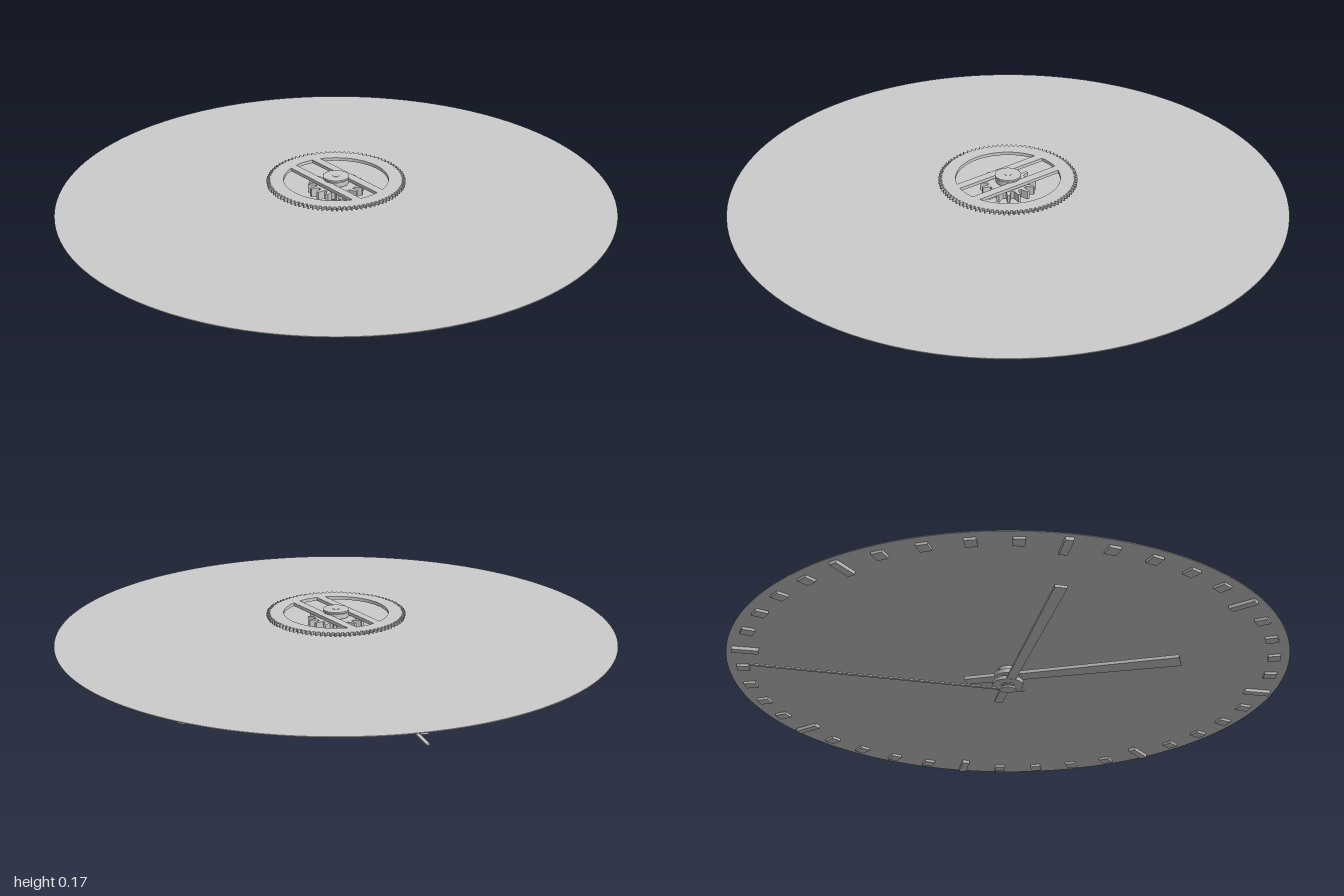
import * as THREE from 'three';

const mat = new THREE.MeshStandardMaterial({ color: 0xcccccc, side: THREE.DoubleSide });

function add(group, name, geometry) {
  const mesh = new THREE.Mesh(geometry, mat);
  mesh.name = name;
  group.add(mesh);
  return mesh;
}

// Horizontal plate: the shape's y axis points to -z, bottom at y
function plate(shape, y, height) {
  const g = new THREE.ExtrudeGeometry(shape, { depth: height, bevelEnabled: false, curveSegments: 32 });
  return g.rotateX(-Math.PI / 2).translate(0, y, 0);
}

function cylinder(r, y0, y1, sides = 32) {
  return new THREE.CylinderGeometry(r, r, y1 - y0, sides).translate(0, (y0 + y1) / 2, 0);
}

// Hollow tube or washer
function ring(rIn, rOut, y0, y1) {
  const s = new THREE.Shape().absarc(0, 0, rOut, 0, Math.PI * 2);
  s.holes.push(new THREE.Path().absarc(0, 0, rIn, 0, Math.PI * 2, true));
  return plate(s, y0, y1 - y0);
}

function gearShape(teeth, root, tip) {
  const pts = [];
  const step = Math.PI * 2 / teeth;
  for (let i = 0; i < teeth; i++) {
    for (const [f, r] of [[-0.3, root], [-0.12, tip], [0.12, tip], [0.3, root]]) {
      const a = (i + f) * step;
      pts.push(new THREE.Vector2(Math.cos(a) * r, Math.sin(a) * r));
    }
  }
  return new THREE.Shape(pts);
}

// Hand pointing along +x, with a short tail and a widening blade
function handShape(tail, length, tailWidth, tipWidth) {
  return new THREE.Shape([
    new THREE.Vector2(-tail, -tailWidth / 2), new THREE.Vector2(length, -tipWidth / 2),
    new THREE.Vector2(length, tipWidth / 2), new THREE.Vector2(-tail, tailWidth / 2),
  ]);
}

export function createModel() {
  const model = new THREE.Group();
  model.name = 'clockMovement';

  // Very shallow conical dial, its face turned downwards
  const profile = [[0.035, 0.081], [1, 0.077], [1, 0.08], [0.035, 0.086], [0.035, 0.081]];
  add(model, 'dial', new THREE.LatheGeometry(profile.map(p => new THREE.Vector2(...p)), 128).toNonIndexed())
    .geometry.computeVertexNormals();

  // Forty marks under the rim, every fifth one long
  const marks = new THREE.Group();
  marks.name = 'dialMarks';
  model.add(marks);
  for (let i = 0; i < 40; i++) {
    const long = i % 5 === 0;
    const g = long ? new THREE.BoxGeometry(0.095, 0.014, 0.028) : new THREE.BoxGeometry(0.045, 0.011, 0.04);
    g.translate(long ? 0.935 : 0.945, long ? 0.072 : 0.0735, 0);
    add(marks, long ? 'longMark' : 'shortMark', g).rotation.y = THREE.MathUtils.degToRad(i * 9 - 4.7);
  }

  // Hands, hub and tail included
  const hands = [
    ['hourHand', 0.155, 0.62, 0.045, 0.07, 0.047, 0.012, 0.05, 241.5],
    ['minuteHand', 0.16, 0.76, 0.03, 0.042, 0.02, 0.01, 0.055, 177],
    ['secondHand', 0.06, 0.92, 0.012, 0.012, 0, 0.005, 0.028, 87.5],
  ];
  for (const [name, tail, length, w0, w1, y, h, hubR, angle] of hands) {
    const hand = new THREE.Group();
    hand.name = name;
    add(hand, name + 'Blade', plate(handShape(tail, length, w0, w1), y, h));
    add(hand, name + 'Hub', cylinder(hubR, y - (y > 0 ? 0.001 : 0), y + h + 0.002));
    hand.rotation.y = THREE.MathUtils.degToRad(angle);
    model.add(hand);
  }

  // Nested axles
  add(model, 'hourTube', ring(0.024, 0.033, 0.045, 0.14));
  add(model, 'minuteTube', ring(0.012, 0.024, 0.015, 0.165));
  add(model, 'secondAxle', cylinder(0.012, 0, 0.168, 24));

  // Small hour gear
  add(model, 'smallGear', plate(gearShape(16, 0.072, 0.1), 0.105, 0.031));

  // Large gear with two bars between three cut-outs
  const big = gearShape(90, 0.236, 0.248);
  const R = 0.187, chord = 0.068, slot = 0.037;
  const a = Math.acos(chord / R), b = Math.acos(slot / R);
  big.holes.push(new THREE.Path().absarc(0, 0, R, -a, a));
  big.holes.push(new THREE.Path().absarc(0, 0, R, Math.PI - a, Math.PI + a));
  const middle = new THREE.Path().absarc(0, 0, R, b, Math.PI - b);
  middle.absarc(0, 0, R, Math.PI + b, Math.PI * 2 - b);
  big.holes.push(middle);
  const largeGear = add(model, 'largeGear', plate(big, 0.143, 0.012));
  largeGear.rotation.y = THREE.MathUtils.degToRad(13);

  // Hub and top washer
  add(model, 'largeGearHub', ring(0.024, 0.044, 0.14, 0.158));
  add(model, 'topWasher', ring(0.012, 0.047, 0.161, 0.167));
  return model;
}
